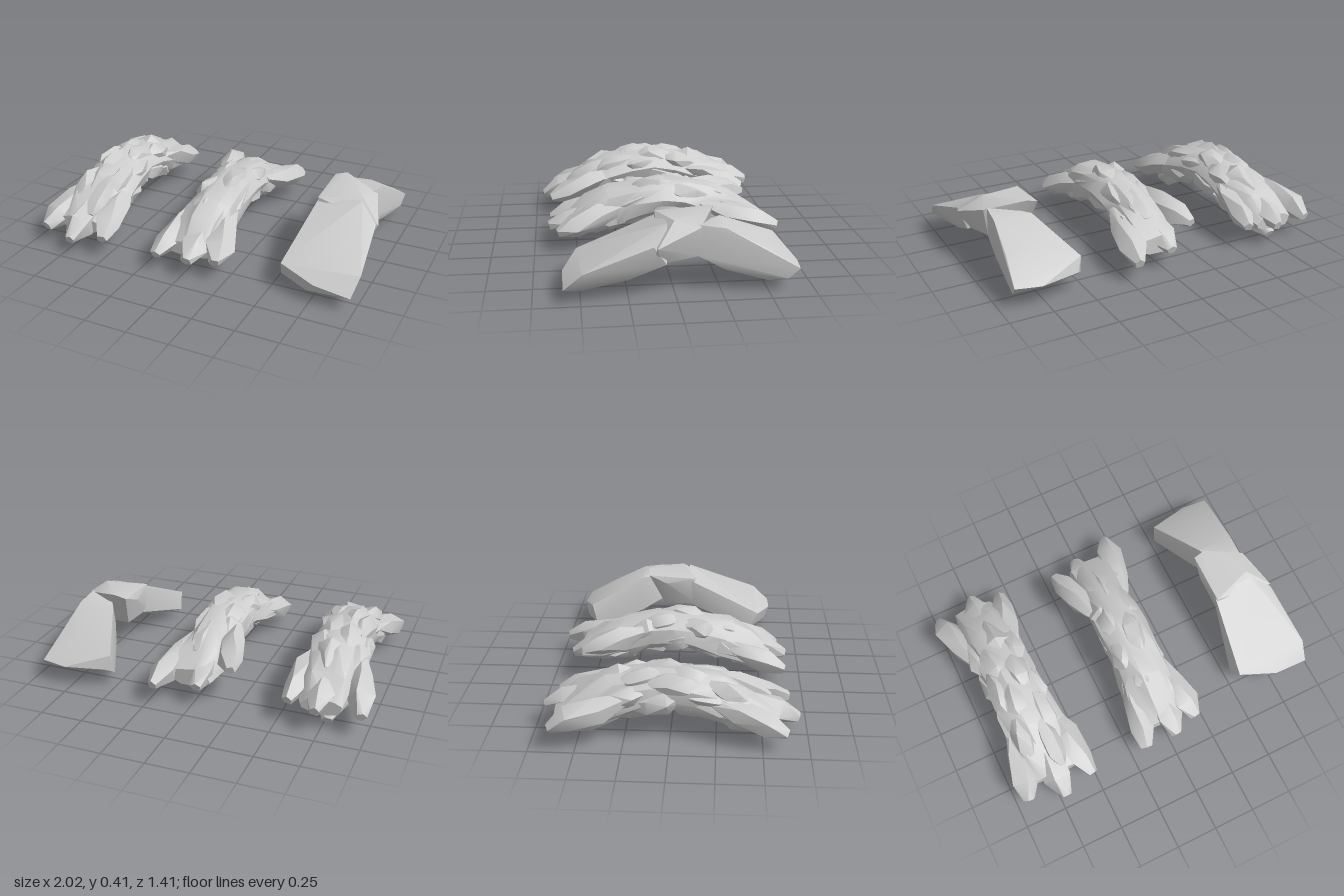
import * as THREE from 'three';
import { toCreasedNormals } from 'three/addons/utils/BufferGeometryUtils.js';
import { ConvexGeometry } from 'three/addons/geometries/ConvexGeometry.js';

const material = new THREE.MeshStandardMaterial({ color: 0xcccccc, roughness: 0.9 });
const { lerp, clamp } = THREE.MathUtils;
const SIDES = 11, ROWS = 9;

// Side profile shared by the heaped arches: z, underside, top
const PROFILE = [
  [-0.68, 0.1, 0.18], [-0.5, 0.08, 0.29], [-0.3, 0.12, 0.37], [-0.1, 0.2, 0.41],
  [0.05, 0.2, 0.41], [0.25, 0.12, 0.38], [0.45, 0.08, 0.29], [0.6, 0.09, 0.18],
];

function profileAt(z) {
  let i = 0;
  while (i < PROFILE.length - 2 && PROFILE[i + 1][0] < z) i++;
  const a = PROFILE[i], b = PROFILE[i + 1];
  const t = clamp((z - a[0]) / (b[0] - a[0]), 0, 1);
  return { low: lerp(a[1], b[1], t), high: lerp(a[2], b[2], t) };
}

function seeded(seed) {
  let s = seed;
  return () => {
    s = (s * 16807) % 2147483647;
    return s / 2147483647;
  };
}

function addMesh(group, geometry, name) {
  const mesh = new THREE.Mesh(toCreasedNormals(geometry, 0.6), material);
  mesh.name = name;
  group.add(mesh);
}

const bend = (v, p) => Math.sign(v) * Math.abs(v) ** p;

// Point on the squarish cross-section of a body, narrower towards the top
function skinPoint(body, z, angle, k) {
  const t = clamp((z - body.z[0]) / (body.z[1] - body.z[0]), 0, 1);
  const half = lerp(...body.half, t) - body.pinch * Math.sin(Math.PI * t);
  const { low, high } = profileAt(z);
  const c = bend(Math.cos(angle), 0.7), s = bend(Math.sin(angle), 0.8);
  return new THREE.Vector3(
    lerp(...body.x, t) + c * k * half * (1 - 0.2 * Math.max(s, 0)),
    (low + high) / 2 + s * k * (high - low) / 2,
    z,
  );
}

// Uneven closed body lofted from back to front, with shrunken ends
function bodyGeometry(body, rand) {
  const points = [], index = [];
  for (let i = 0; i < ROWS; i++) {
    const z = lerp(...body.z, i / (ROWS - 1));
    const inner = i > 0 && i < ROWS - 1;
    for (let j = 0; j < SIDES; j++) {
      const k = (inner ? 0.88 : 0.6) + 0.18 * rand();
      const p = skinPoint(body, z, (j / SIDES) * Math.PI * 2, k);
      if (inner) p.z += (rand() - 0.5) * 0.08;
      points.push(...p);
    }
  }
  for (let i = 0; i < ROWS - 1; i++) {
    for (let j = 0; j < SIDES; j++) {
      const a = i * SIDES + j, b = i * SIDES + ((j + 1) % SIDES);
      index.push(a, b, a + SIDES, b, b + SIDES, a + SIDES);
    }
  }
  for (const end of [0, 1]) {
    const centre = points.length / 3, start = end * (ROWS - 1) * SIDES;
    points.push(...skinPoint(body, body.z[end], 0, 0));
    for (let j = 0; j < SIDES; j++) {
      const a = start + j, b = start + ((j + 1) % SIDES);
      if (end) index.push(centre, a, b);
      else index.push(centre, b, a);
    }
  }
  const g = new THREE.BufferGeometry();
  g.setAttribute('position', new THREE.Float32BufferAttribute(points, 3));
  g.setIndex(index);
  return g;
}

// Long faceted stone stretched between two points
function stoneGeometry(a, b, radius, rand) {
  const dir = b.clone().sub(a).normalize();
  const side = new THREE.Vector3(0, 1, 0).cross(dir).normalize();
  const up = dir.clone().cross(side);
  const points = [];
  for (const [t, k] of [[0, 0.4], [0.35, 0.95], [0.75, 1], [1, 0.4]]) {
    const turn = rand() * 2;
    for (let j = 0; j < 5; j++) {
      const angle = turn + (j / 5) * Math.PI * 2;
      const r = radius * k * (0.8 + 0.4 * rand());
      points.push(a.clone().lerp(b, t)
        .addScaledVector(side, Math.cos(angle) * r)
        .addScaledVector(up, Math.sin(angle) * r * 0.9));
    }
  }
  return new ConvexGeometry(points);
}

// Arch heaped from a lumpy body, splayed foot stones and half-sunk slabs
function heapedArch({ name, seed, slabs, sink, body, tips }) {
  const rand = seeded(seed * 7919);
  const arch = new THREE.Group();
  arch.name = name;
  addMesh(arch, bodyGeometry(body, rand), 'archBody');
  for (const [x, y, z] of tips) {
    const { low, high } = profileAt(z * 0.35);
    const root = new THREE.Vector3(
      lerp(x, (body.x[0] + body.x[1]) / 2, 0.4), (low + high) / 2 + (y - 0.12) * 0.4, z * 0.35);
    addMesh(arch, stoneGeometry(root, new THREE.Vector3(x, y, z), 0.078, rand), 'splayedStone');
  }
  for (let i = 0; i < slabs; i++) {
    const z = -0.42 + 0.84 * (i + rand()) / slabs;
    const angle = i * 0.618 * Math.PI * 2;
    const half = 0.1 + 0.05 * rand();
    const a = skinPoint(body, z - half, angle, sink);
    const b = skinPoint(body, z + half, angle + (rand() - 0.5) * 0.5, sink);
    addMesh(arch, stoneGeometry(a, b, 0.06 + 0.02 * rand(), rand), 'surfaceSlab');
  }
  return arch;
}

// Ranges z, x (centre line) and half (half width) run from back to front
const rightArch = {
  name: 'rightArch', seed: 17, slabs: 24, sink: 0.7,
  body: { z: [-0.62, 0.56], x: [-0.74, -0.71], half: [0.18, 0.21], pinch: 0.03 },
  tips: [
    [-0.92, 0.12, 0.63], [-0.71, 0.11, 0.7], [-0.52, 0.13, 0.65], [-0.62, 0.08, 0.47],
    [-0.97, 0.15, -0.64], [-0.73, 0.16, -0.69], [-0.56, 0.16, -0.63], [-0.77, 0.04, -0.56],
  ],
};
const middleArch = {
  name: 'middleArch', seed: 91, slabs: 20, sink: 0.64,
  body: { z: [-0.58, 0.56], x: [0.02, 0.01], half: [0.16, 0.2], pinch: 0.03 },
  tips: [
    [-0.16, 0.12, 0.65], [0.04, 0.13, 0.66], [0.19, 0.13, 0.61], [0, 0.1, 0.47],
    [-0.2, 0.24, -0.56], [-0.03, 0.14, -0.64], [0.21, 0.14, -0.7], [0.06, 0.09, -0.5],
  ],
};

// Corners of the three big blocks of the left arch
const FRONT_BLOCK = [
  [0.53, 0.07, 0.45], [0.55, 0.17, 0.51], [0.77, 0.13, 0.59], [0.72, 0.07, 0.56],
  [0.92, 0.07, 0.5], [0.98, 0.1, 0.59], [1, 0.19, 0.49], [0.58, 0.25, 0.23],
  [0.6, 0.38, 0.05], [0.85, 0.4, 0.04], [0.96, 0.31, 0.12], [0.64, 0.1, 0.25],
  [0.92, 0.12, 0.25], [0.62, 0.2, 0.06], [0.93, 0.2, 0.05],
];
const CROWN_BLOCK = [
  [0.6, 0.41, -0.22], [0.67, 0.43, -0.23], [0.58, 0.36, -0.1], [0.6, 0.39, 0.08],
  [0.97, 0.3, 0.1], [0.93, 0.23, 0.12], [0.84, 0.41, 0], [0.89, 0.38, -0.13],
  [0.87, 0.22, -0.13], [0.64, 0.2, -0.12], [0.62, 0.2, 0.1], [0.92, 0.2, 0.08],
];
const BACK_BLOCK = [
  [0.75, 0.36, -0.12], [0.87, 0.39, -0.13], [0.87, 0.22, -0.12], [0.72, 0.2, -0.14],
  [0.66, 0.37, -0.27], [0.88, 0.37, -0.27], [0.65, 0.14, -0.27], [0.88, 0.14, -0.27],
  [0.52, 0.22, -0.6], [0.51, 0.1, -0.57], [0.55, 0.14, -0.63], [0.78, 0.14, -0.68],
  [0.93, 0.15, -0.66], [0.92, 0.09, -0.6], [0.9, 0.26, -0.48], [0.75, 0.29, -0.48],
  [0.56, 0.07, -0.5], [0.88, 0.07, -0.5],
];

// Arch of large blocks leaning on each other at the crown
function blockArch() {
  const arch = new THREE.Group();
  arch.name = 'leftArch';
  const blocks = { frontBlock: FRONT_BLOCK, crownBlock: CROWN_BLOCK, backBlock: BACK_BLOCK };
  for (const [name, corners] of Object.entries(blocks)) {
    addMesh(arch, new ConvexGeometry(corners.map((c) => new THREE.Vector3(...c))), name);
  }
  return arch;
}

export function createModel() {
  const model = new THREE.Group();
  model.name = 'rockArches';
  model.add(heapedArch(rightArch), heapedArch(middleArch), blockArch());
  return model;
}
